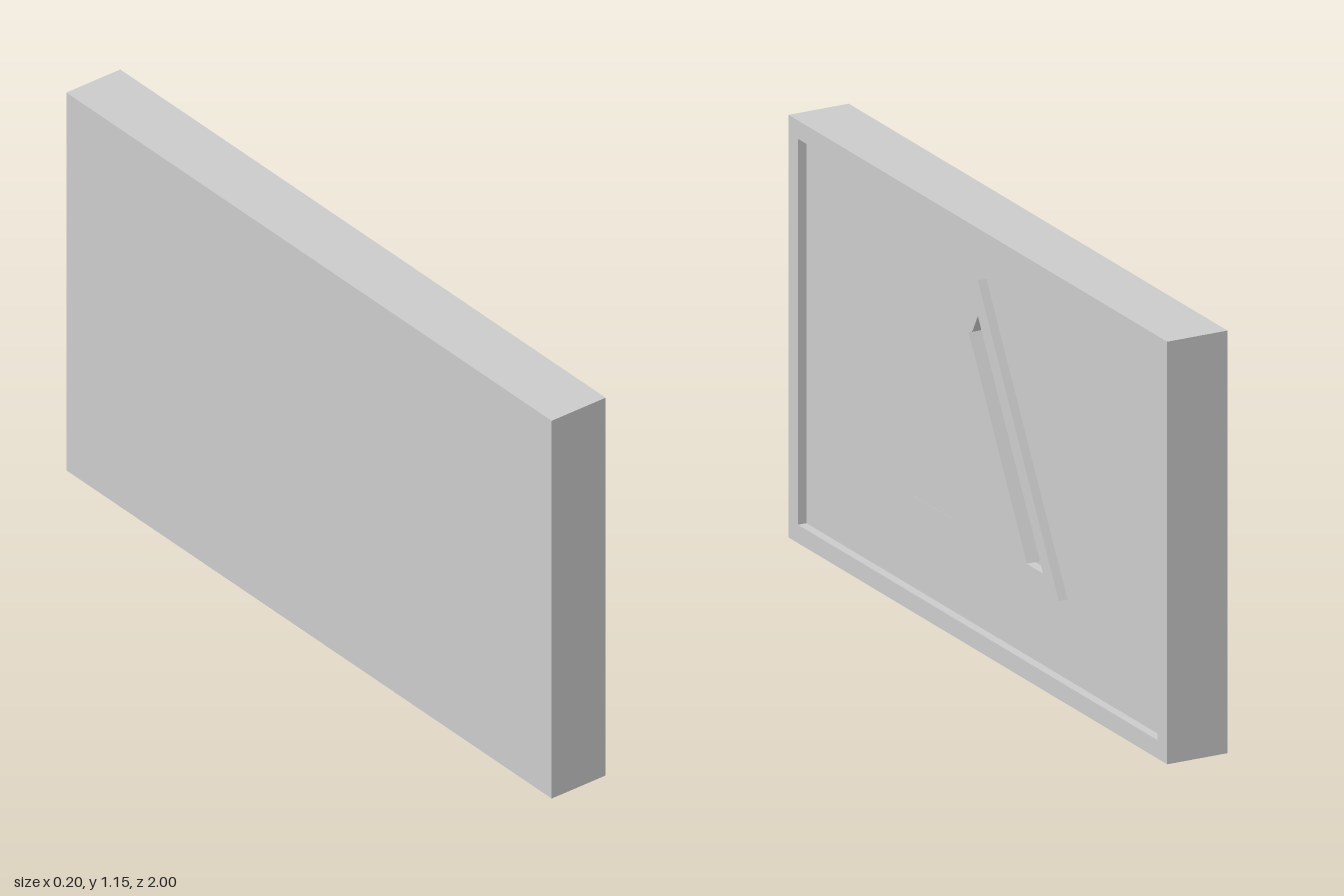
import * as THREE from 'three';

const BACK = -0.102, FLOOR = 0.05, FACE = 0.075, PROUD = 0.102;

const outline = (Type, pts) => new Type(pts.map(([u, v]) => new THREE.Vector2(u, v)));
const rect = (w, y0, y1) => [[-w, y0], [w, y0], [w, y1], [-w, y1]];
const triangle = (w, y0, y1) => [[-w, y0], [w, y0], [0, y1]];

// Extrudes an outline (z across, y up) along x from x0 to x1
function plate(name, pts, x0, x1, hole) {
  const shape = outline(THREE.Shape, pts);
  if (hole) shape.holes.push(outline(THREE.Path, hole));
  const geo = new THREE.ExtrudeGeometry(shape, { depth: x1 - x0, bevelEnabled: false });
  geo.translate(0, 0, x0).rotateY(Math.PI / 2);
  const mesh = new THREE.Mesh(geo, new THREE.MeshStandardMaterial({ color: 0xcccccc, flatShading: true }));
  mesh.name = name;
  return mesh;
}

export function createModel() {
  const group = new THREE.Group();
  group.name = 'panel';
  group.add(
    // Slab with a raised rim around a shallow recess
    plate('slab', rect(1, 0, 1.15), BACK, FLOOR),
    plate('rim', rect(1, 0, 1.15), FLOOR, FACE, rect(0.95, 0.05, 1.1)),
    // Triangular frame level with the rim
    plate('triangleFrame', triangle(0.428, 0.268, 1.008), FLOOR, FACE, triangle(0.344, 0.317, 0.911)),
    // Solid triangle standing proud of the frame
    plate('innerTriangle', triangle(0.308, 0.337, 0.871), FLOOR, PROUD)
  );
  return group;
}
